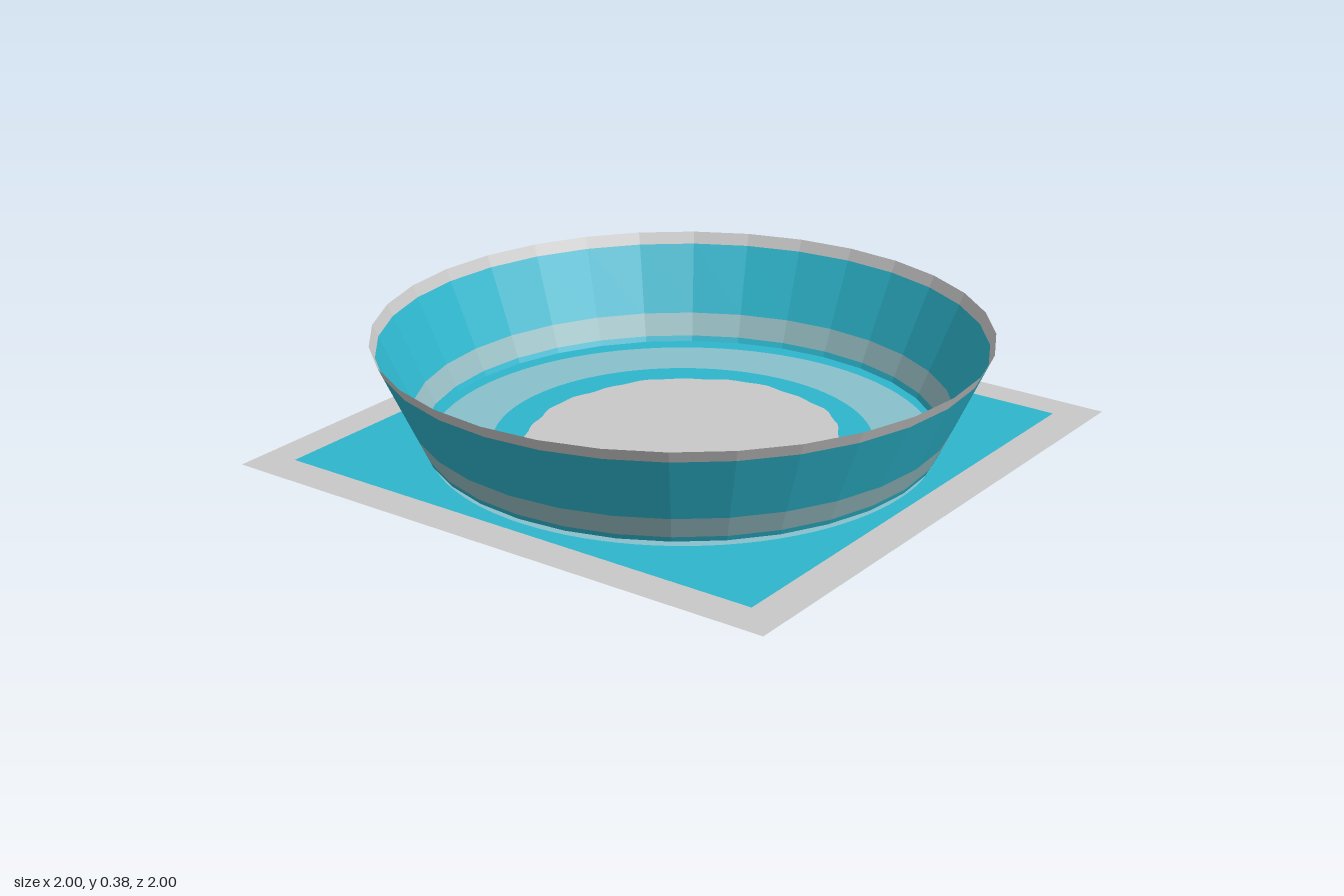
import * as THREE from 'three';

const paint = (name, color) => new THREE.MeshStandardMaterial({ name, color, side: THREE.DoubleSide });

// Closed outline from a radius rule
function ringPath(radius, PathType = THREE.Path, steps = 96) {
  const points = [];
  for (let i = 0; i < steps; i++) {
    const a = (i / steps) * Math.PI * 2;
    const r = radius(a);
    points.push(new THREE.Vector2(Math.cos(a) * r, Math.sin(a) * r));
  }
  return new PathType(points);
}

function rectangle(x0, x1, y0, y1) {
  return [[x0, y0], [x1, y0], [x1, y1], [x0, y1]].map(([x, y]) => new THREE.Vector2(x, y));
}

export function createModel() {
  const model = new THREE.Group();
  model.name = 'paddlingPool';

  const grey = paint('light grey', 0xc8c8c8);
  const teal = paint('teal', 0x2db5cc);
  const pale = paint('pale teal', 0x88c1cb);
  const dusty = paint('dusty teal', 0x96bdc2);

  // Flat base sheet, cut into colour areas that meet without overlapping
  const flat = (name, shape, hole, material) => {
    if (hole) shape.holes.push(hole);
    const geometry = new THREE.ShapeGeometry(shape).rotateX(-Math.PI / 2);
    const mesh = new THREE.Mesh(geometry, material);
    mesh.name = name;
    model.add(mesh);
  };
  const outer = () => 0.822;
  const inner = () => 0.62;
  const worn = (a) => 0.518 + 0.014 * Math.cos(2 * a) + 0.005 * Math.sin(9 * a) + 0.004 * Math.sin(23 * a);
  const panel = rectangle(-0.875, 0.89, -0.875, 0.89);

  flat('baseBorder', new THREE.Shape(rectangle(-1, 1, -1, 1)), new THREE.Path(panel), grey);
  flat('basePanel', new THREE.Shape(panel), ringPath(outer), teal);
  flat('floorOuterRing', ringPath(outer, THREE.Shape), ringPath(inner), pale);
  flat('floorInnerRing', ringPath(inner, THREE.Shape), ringPath(worn), teal);
  flat('floorCentre', ringPath(worn, THREE.Shape), null, grey);

  // Open flared wall, stacked from faceted colour bands
  const bottom = 0.02, top = 0.375;
  const wallRadius = (y) => THREE.MathUtils.lerp(0.835, 0.998, (y - bottom) / (top - bottom));
  const bands = [
    ['wallFoot', bottom, 0.038, teal],
    ['wallLowerBand', 0.038, 0.112, dusty],
    ['wallMiddleBand', 0.112, 0.336, teal],
    ['wallRim', 0.336, top, grey],
  ];
  for (const [name, y0, y1, material] of bands) {
    const geometry = new THREE.CylinderGeometry(wallRadius(y1), wallRadius(y0), y1 - y0, 32, 1, true)
      .translate(0, (y0 + y1) / 2, 0)
      .toNonIndexed();
    geometry.computeVertexNormals();
    const mesh = new THREE.Mesh(geometry, material);
    mesh.name = name;
    model.add(mesh);
  }

  return model;
}
